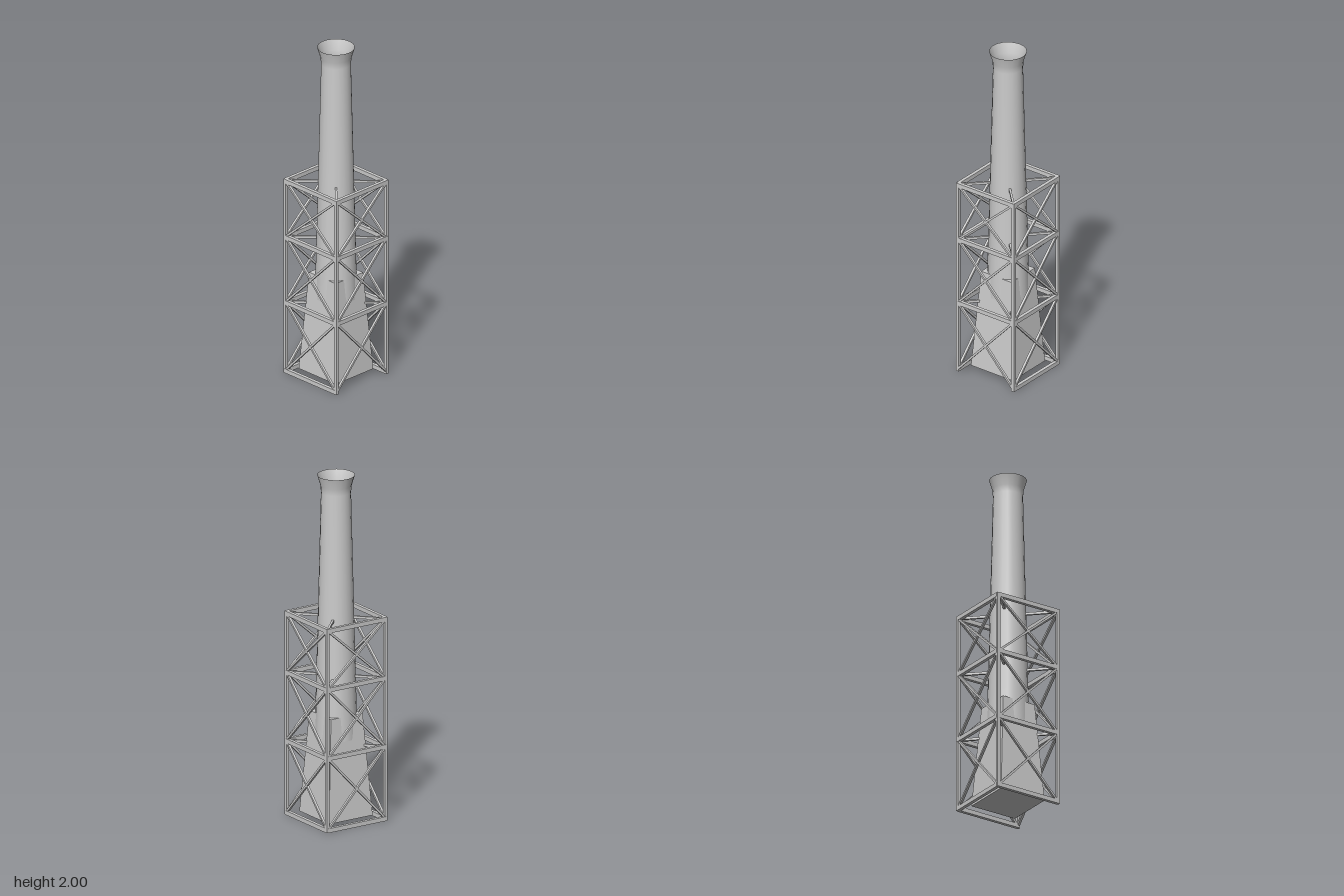
import * as THREE from 'three';

const material = new THREE.MeshStandardMaterial({ color: 0xcccccc, side: THREE.DoubleSide });

function add(parent, geometry, name) {
  const mesh = new THREE.Mesh(geometry, material);
  mesh.name = name;
  parent.add(mesh);
  return mesh;
}

// Rectangular bar between two points
function bar(parent, a, b, width, depth, name) {
  const from = new THREE.Vector3(...a), to = new THREE.Vector3(...b);
  const mesh = add(parent, new THREE.BoxGeometry(width, depth, from.distanceTo(to)), name);
  mesh.position.copy(from).add(to).multiplyScalar(0.5);
  if (Math.abs(to.y - from.y) > 0.99 * from.distanceTo(to)) mesh.rotation.x = Math.PI / 2;
  else mesh.lookAt(to);
  return mesh;
}

export function createModel() {
  const group = new THREE.Group();

  // Square tapered plinth
  const plinth = new THREE.BoxGeometry(2, 0.59, 2);
  const p = plinth.attributes.position;
  for (let i = 0; i < p.count; i++) {
    const half = p.getY(i) > 0 ? 0.106 : 0.146;
    p.setX(i, p.getX(i) * half);
    p.setZ(i, p.getZ(i) * half);
  }
  plinth.computeVertexNormals();
  add(group, plinth, 'plinth').position.y = 0.325;

  // Round tapering stack with a flared, open mouth
  const profile = [[0.12, 0.48], [0.115, 0.62], [0.101, 1.18], [0.0835, 1.9], [0.087, 1.94], [0.105, 2]];
  const stack = new THREE.LatheGeometry(profile.map(([r, y]) => new THREE.Vector2(r, y)), 20);
  add(group, stack, 'stack');

  // Scaffold tower around the stack
  const tower = new THREE.Group();
  tower.name = 'scaffold';
  group.add(tower);
  const X = 0.194, Z = 0.2, T = 0.02;
  const levels = [0.017, 0.436, 0.835, 1.178];
  const corners = [[X, Z], [X, -Z], [-X, -Z], [-X, Z]];

  corners.forEach(([x, z], i) => {
    const [u, w] = corners[(i + 1) % 4];
    bar(tower, [x, 0.005, z], [x, 1.19, z], 0.018, 0.018, 'cornerPost');
    levels.forEach((y, k) => {
      // The front side stays open at ground level
      if (!(k === 0 && i === 3)) bar(tower, [x, y, z], [u, y, w], T, 0.025, 'girt');
      // Crossed braces in each bay
      if (k < 3) {
        const top = levels[k + 1];
        bar(tower, [x, y, z], [u, top, w], 0.014, 0.012, 'brace');
        bar(tower, [x, top, z], [u, y, w], 0.014, 0.012, 'brace');
      }
    });
  });

  // Horizontal cross ties on the upper levels
  for (const y of levels.slice(1)) {
    bar(tower, [X, y, Z], [-X, y, -Z], 0.012, 0.014, 'crossTie');
    bar(tower, [X, y, -Z], [-X, y, Z], 0.012, 0.014, 'crossTie');
  }

  return group;
}
